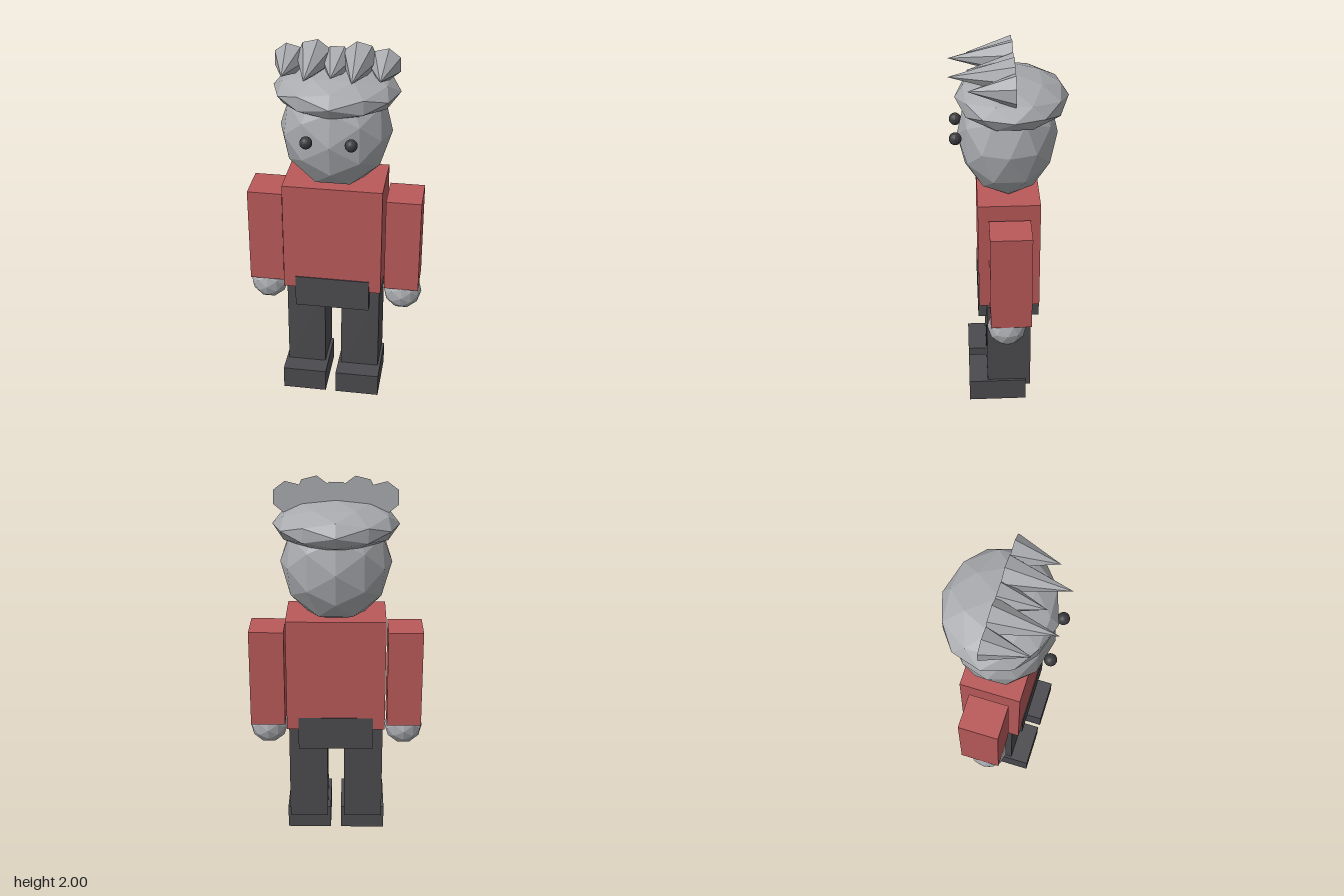
import * as THREE from 'three';

export function createModel() {
  const model = new THREE.Group();
  model.name = 'blockyFigure';

  const mat = (name, color) => {
    const m = new THREE.MeshStandardMaterial({ color, flatShading: true });
    m.name = name;
    return m;
  };
  const grey = mat('lightGrey', 0xa8aaae);
  const red = mat('shirtRed', 0xba5959);
  const dark = mat('trouserGrey', 0x4b4a4e);
  const black = mat('eyeGrey', 0x3b3b3e);

  const add = (name, geometry, material, x, y, z) => {
    const mesh = new THREE.Mesh(geometry, material);
    mesh.name = name;
    mesh.position.set(x, y, z);
    model.add(mesh);
    return mesh;
  };
  // box given by its extents on each axis
  const box = (name, material, x0, x1, y0, y1, z0, z1) =>
    add(name, new THREE.BoxGeometry(x1 - x0, y1 - y0, z1 - z0), material,
      (x0 + x1) / 2, (y0 + y1) / 2, (z0 + z1) / 2);
  // faceted ball with separate radii
  const ball = (name, x, y, z, rx, ry, rz) =>
    add(name, new THREE.IcosahedronGeometry(1, 1).scale(rx, ry, rz), grey, x, y, z);

  // body
  box('torso', red, -0.262, 0.262, 0.65, 1.265, -0.155, 0.165);
  box('hips', dark, -0.2, 0.2, 0.535, 0.717, -0.158, 0.17);

  // head and hair cap
  ball('head', 0, 1.545, 0.003, 0.29, 0.32, 0.258);
  ball('hairCap', 0, 1.752, -0.019, 0.325, 0.122, 0.287);

  // limbs and eyes, mirrored
  for (const [side, s] of [['left', 1], ['right', -1]]) {
    const pair = (name, material, a, b, ...rest) =>
      box(side + name, material, Math.min(s * a, s * b), Math.max(s * a, s * b), ...rest);
    pair('Arm', red, 0.275, 0.46, 0.65, 1.185, -0.103, 0.11);
    pair('Leg', dark, 0.045, 0.253, 0.09, 0.63, -0.112, 0.125);
    pair('Foot', dark, 0.028, 0.267, 0, 0.13, -0.086, 0.227);
    ball(side + 'Hand', s * 0.37, 0.597, 0.023, 0.104, 0.104, 0.104);
    add(side + 'Eye', new THREE.SphereGeometry(0.032, 16, 12), black, s * 0.112, 1.575, 0.268);
  }

  // fringe spikes: x, y, radius, length, twist
  const spikes = [
    [-0.24, 1.888, 0.085, 0.232, 0.25],
    [-0.115, 1.91, 0.091, 0.326, -0.25],
    [0, 1.893, 0.083, 0.235, 0],
    [0.115, 1.91, 0.091, 0.326, 0.25],
    [0.24, 1.888, 0.085, 0.232, -0.25],
  ];
  for (const [x, y, r, len, twist] of spikes) {
    const cone = new THREE.ConeGeometry(r, len, 7)
      .translate(0, len / 2, 0)
      .rotateX(Math.PI / 2)
      .rotateZ(-twist);
    add('hairSpike', cone, grey, x, y, -0.028);
  }

  return model;
}
